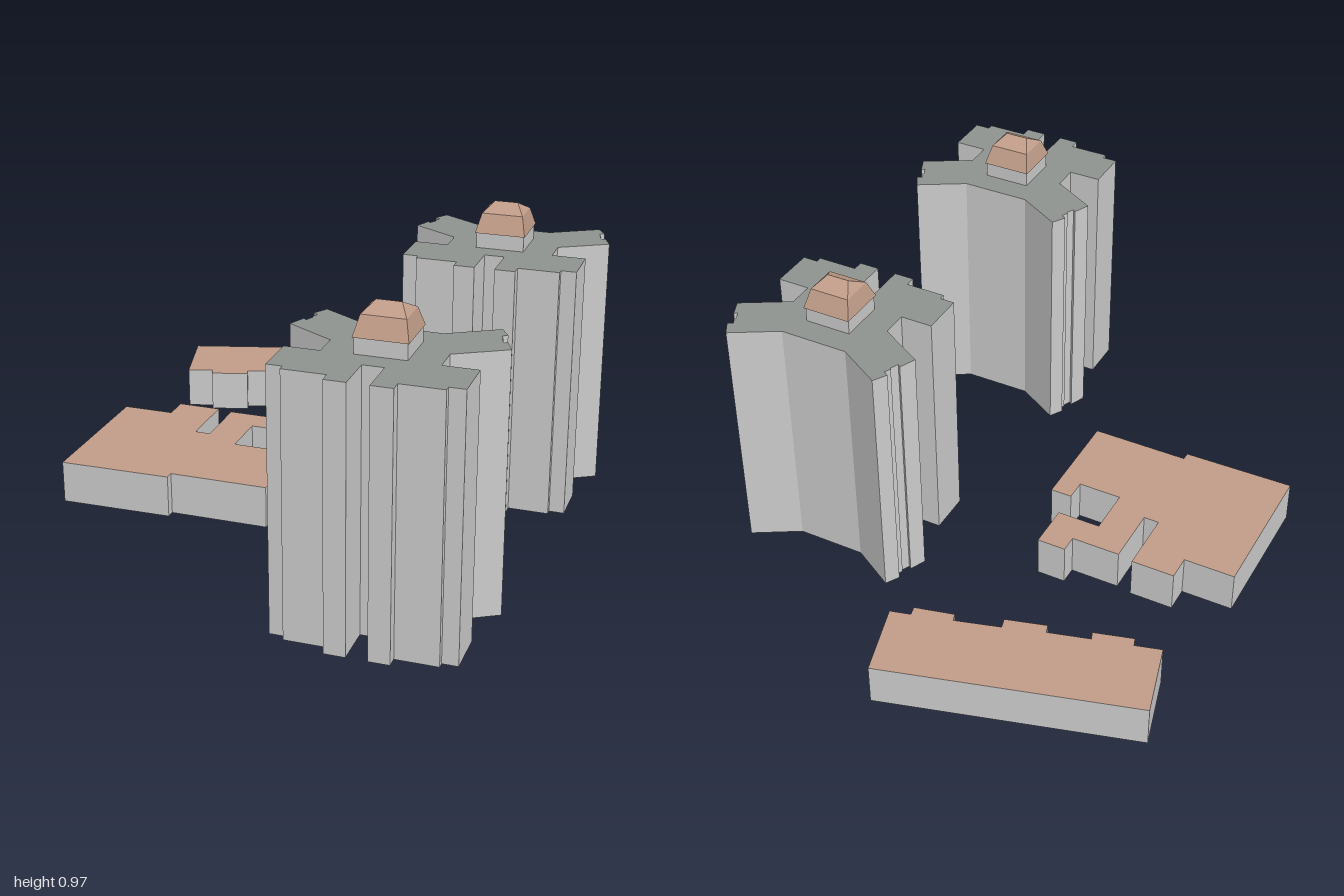
import * as THREE from 'three';

const mat = (color) => new THREE.MeshStandardMaterial({ color, flatShading: true, side: THREE.DoubleSide });
const wallMat = mat(0xcccccc);
const slateMat = mat(0x8e928e);
const tileMat = mat(0xc09c88);

function add(parent, name, geometry, material) {
  const mesh = new THREE.Mesh(geometry, material);
  mesh.name = name;
  parent.add(mesh);
  return mesh;
}

// Faces between stacked rings; each ring is { y, pts: [[x, z], ...] }
function loft(rings) {
  const pos = [];
  for (let r = 0; r + 1 < rings.length; r++) {
    const lo = rings[r], hi = rings[r + 1], n = lo.pts.length;
    for (let i = 0; i < n; i++) {
      const j = (i + 1) % n;
      const at = (ring, k) => [ring.pts[k][0], ring.y, ring.pts[k][1]];
      const a = at(lo, i), b = at(lo, j), c = at(hi, j), d = at(hi, i);
      pos.push(...a, ...b, ...c, ...a, ...c, ...d);
    }
  }
  const g = new THREE.BufferGeometry();
  g.setAttribute('position', new THREE.Float32BufferAttribute(pos, 3));
  g.computeVertexNormals();
  return g;
}

// Walls and flat roof over a plan outline, open underneath
function building(name, outline, height, roofMat) {
  const group = new THREE.Group();
  group.name = name;
  const plan = outline.map(([x, z]) => new THREE.Vector2(x, -z));
  const pts = THREE.ShapeUtils.isClockWise(plan) ? [...outline].reverse() : outline;
  add(group, 'walls', loft([{ y: 0, pts }, { y: height, pts }]), wallMat);
  const roof = new THREE.ShapeGeometry(new THREE.Shape(plan));
  roof.rotateX(-Math.PI / 2).translate(0, height, 0);
  add(group, 'flatRoof', roof, roofMat);
  return group;
}

// Rectangle ring, anticlockwise from above
const rect = (y, hx, hz) => ({ y, pts: [[-hx, hz], [hx, hz], [hx, -hz], [-hx, -hz]] });

// Right half of the tower plan, back to front; the left half is mirrored
const halfTower = [
  [0.114, -0.158], [0.262, -0.244], [0.288, -0.2], [0.272, -0.19], [0.282, -0.17],
  [0.278, -0.166], [0.29, -0.14], [0.3, -0.148], [0.323, -0.095], [0.172, -0.008],
  [0.172, 0.077], [0.279, 0.077], [0.279, 0.22], [0.23, 0.22], [0.23, 0.24],
  [0.098, 0.24], [0.098, 0.275], [0.032, 0.275], [0.032, 0.143],
];
const towerPlan = [...halfTower, ...halfTower.map(([x, z]) => [-x, z]).reverse()];

function tower(name, x, z) {
  const group = building(name, towerPlan, 0.827, slateMat);
  // Lantern block with a two-slope hipped cap
  add(group, 'lanternWalls', loft([rect(0.827, 0.077, 0.075), rect(0.878, 0.077, 0.075)]), wallMat);
  add(group, 'lanternRoof', loft([rect(0.877, 0.081, 0.081), rect(0.937, 0.066, 0.054), rect(0.966, 0.037, 0)]), tileMat);
  group.position.set(x, 0, z);
  return group;
}

// Long low block set at an angle, with shallow bays on its front
const longPlan = [
  [-0.806, -0.767], [0.005, -1], [0.072, -0.765], [0.006, -0.747], [0.013, -0.717],
  [-0.114, -0.685], [-0.122, -0.71], [-0.267, -0.667], [-0.258, -0.634], [-0.389, -0.596],
  [-0.398, -0.624], [-0.531, -0.586], [-0.522, -0.56], [-0.648, -0.524], [-0.657, -0.551],
  [-0.742, -0.527],
];

// Wide low block with notches and a small court at the back
const widePlan = [
  [-0.813, -0.136], [-0.642, -0.136], [-0.642, -0.22], [-0.497, -0.22], [-0.497, -0.012],
  [-0.446, -0.012], [-0.446, -0.21], [-0.283, -0.21], [-0.283, -0.268], [-0.187, -0.268],
  [-0.187, -0.118], [-0.332, -0.118], [-0.332, 0.042], [-0.187, 0.042], [-0.187, -0.028],
  [-0.115, -0.028], [-0.115, 0.324], [-0.442, 0.324], [-0.442, 0.352], [-0.813, 0.358],
];

export function createModel() {
  const model = new THREE.Group();
  model.name = 'housingEstate';
  model.add(
    tower('frontTower', 0.408, 0.725),
    tower('backTower', 0.488, -0.3),
    building('longLowBlock', longPlan, 0.14, tileMat),
    building('wideLowBlock', widePlan, 0.14, tileMat),
  );
  return model;
}
